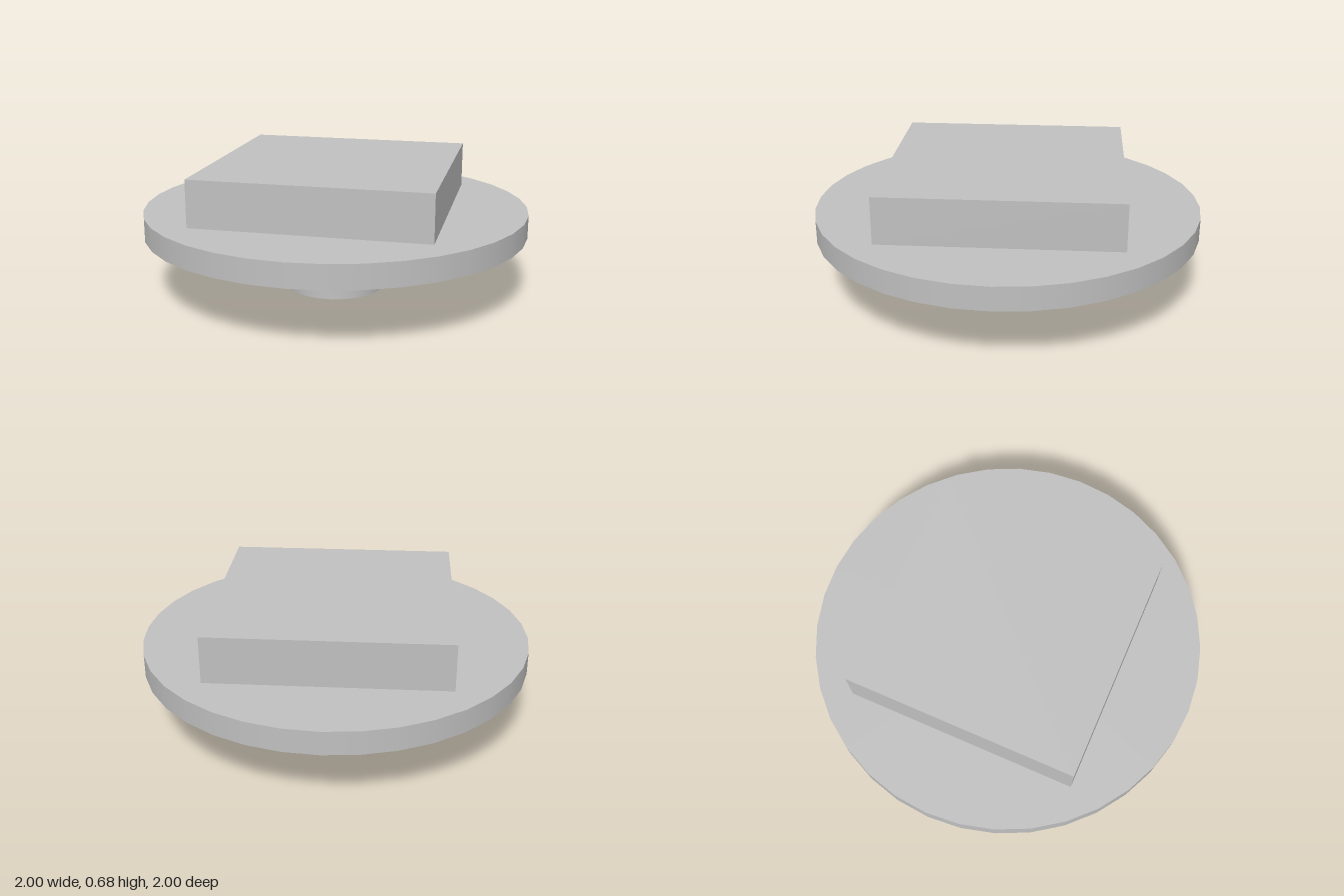
import * as THREE from 'three';
import { toCreasedNormals } from 'three/addons/utils/BufferGeometryUtils.js';

const SEGMENTS = 36;

export function createModel() {
  const model = new THREE.Group();
  const grey = new THREE.MeshStandardMaterial({ color: 0xc0c0c0 });
  grey.name = 'plainGrey';

  function add(name, geometry, y) {
    const mesh = new THREE.Mesh(geometry, grey);
    mesh.name = name;
    mesh.position.y = y;
    model.add(mesh);
  }

  // Hollow stem with a round bore
  const ring = new THREE.Shape().absarc(0, 0, 0.25, 0, Math.PI * 2, false);
  ring.holes.push(new THREE.Path().absarc(0, 0, 0.085, 0, Math.PI * 2, true));
  const stem = new THREE.ExtrudeGeometry(ring, {
    depth: 0.28, bevelEnabled: false, curveSegments: SEGMENTS,
  });
  stem.rotateX(-Math.PI / 2);
  add('stem', toCreasedNormals(stem, 0.5), 0);

  // Collar and round plate
  add('collar', new THREE.CylinderGeometry(0.32, 0.32, 0.04, SEGMENTS), 0.3);
  add('roundPlate', new THREE.CylinderGeometry(1, 1, 0.12, SEGMENTS), 0.38);

  // Square block on top
  add('squareBlock', new THREE.BoxGeometry(1.2, 0.24, 1.2), 0.56);

  return model;
}
